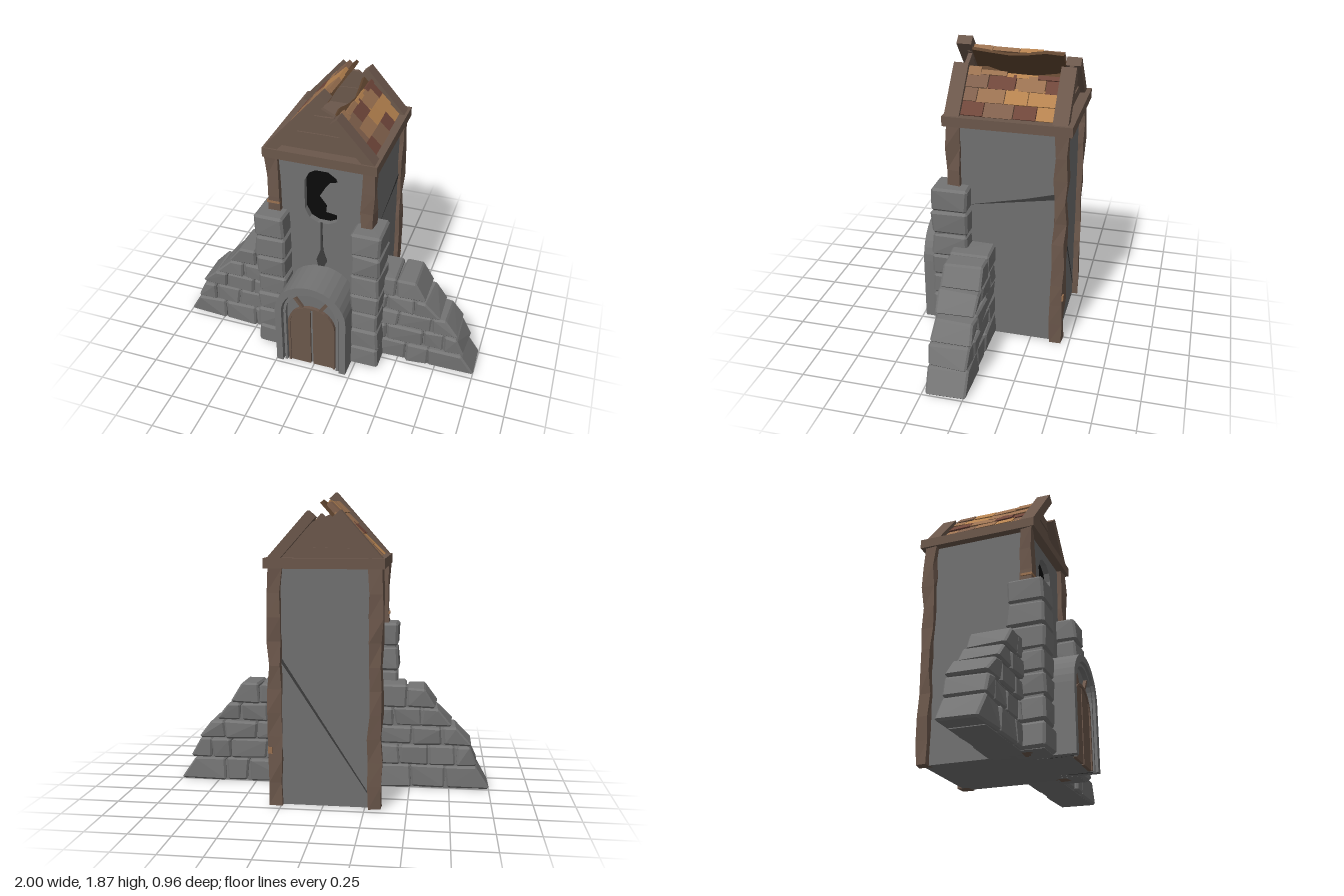
import * as THREE from 'three';
import { ConvexGeometry } from 'three/addons/geometries/ConvexGeometry.js';

const mat = (name, color, side = THREE.FrontSide) => {
  const m = new THREE.MeshStandardMaterial({ color, flatShading: true, side });
  m.name = name;
  return m;
};

export function createModel() {
  const stoneGrey = mat('stoneGrey', 0x747474);
  const wallGrey = mat('wallGrey', 0x707070);
  const crackGrey = mat('crackGrey', 0x3c3c3c);
  const timber = mat('timberBrown', 0x6b574b);
  const darkWood = mat('darkWood', 0x60452f);
  const black = mat('black', 0x0a0a0a);
  const tileMats = [mat('tileOrange', 0xb5824f), mat('tileTan', 0x9a7150),
    mat('tileBrown', 0x80604c), mat('tileRed', 0x6f463a)];

  const model = new THREE.Group();
  model.name = 'ruinedTower';
  let seed = 7;
  const rnd = () => (seed = (seed * 16807) % 2147483647) / 2147483647;
  const jit = (a) => (rnd() - 0.5) * 2 * a;

  const add = (name, geo, material, parent = model) => {
    const m = new THREE.Mesh(geo, material);
    m.name = name;
    parent.add(m);
    return m;
  };
  const group = (name, parent = model) => {
    const g = new THREE.Group();
    g.name = name;
    parent.add(g);
    return g;
  };
  const box = (name, x0, x1, y0, y1, z0, z1, material, parent) => {
    const m = add(name, new THREE.BoxGeometry(x1 - x0, y1 - y0, z1 - z0), material, parent);
    m.position.set((x0 + x1) / 2, (y0 + y1) / 2, (z0 + z1) / 2);
    return m;
  };
  const poly = (pts) => new THREE.Shape(pts.map(([x, y]) => new THREE.Vector2(x, y)));
  const slab = (name, shape, z0, z1, material, parent) => {
    const geo = new THREE.ExtrudeGeometry(shape, { depth: z1 - z0, bevelEnabled: false, curveSegments: 8 });
    const m = add(name, geo, material, parent);
    m.position.z = z0;
    return m;
  };

  // Rough chamfered stone; its ends may slant from bottom (b) to top (t)
  const stone = (name, b0, b1, t0, t1, y0, y1, z0, z1, parent, c = 0.014, j = 0.007) => {
    const pts = [];
    for (const r of [0, 1]) for (const u of [0, 1]) for (const f of [0, 1]) {
      const x = (u ? [t0, t1] : [b0, b1])[r] + jit(j);
      const y = (u ? y1 : y0) + (y0 > 0 || u ? jit(j * 0.5) : 0);
      const z = (f ? z1 : z0) + jit(j);
      const dx = r ? -c : c, dy = u ? -c : c, dz = f ? -c : c;
      pts.push(new THREE.Vector3(x, y + dy, z + dz), new THREE.Vector3(x + dx, y, z + dz),
        new THREE.Vector3(x + dx, y + dy, z));
    }
    return add(name, new ConvexGeometry(pts), stoneGrey, parent);
  };

  // Tower body with a real window opening in its front wall
  box('towerBody', -0.31, 0.295, 0, 1.43, -0.42, 0.19, wallGrey);
  const front = poly([[-0.31, 0], [0.295, 0], [0.295, 1.43], [-0.31, 1.43]]);
  front.holes.push(new THREE.Path(poly([[-0.12, 1.07], [-0.09, 1.01], [-0.04, 0.985], [0.03, 0.985],
    [0.08, 1.01], [0.1, 1.06], [0.1, 1.27], [0.08, 1.32], [0.03, 1.355], [-0.05, 1.355],
    [-0.09, 1.33], [-0.12, 1.27]]).getPoints()));
  slab('frontWall', front, 0.19, 0.235, wallGrey);
  slab('windowDark', poly([[-0.13, 0.97], [0.07, 0.97], [0.07, 1.03], [0, 1.04], [0.005, 1.09], [-0.04, 1.15],
    [0, 1.22], [0.03, 1.26], [0.11, 1.28], [0.11, 1.37], [-0.13, 1.37]]), 0.19, 0.197, black);

  // Cracks
  slab('frontCrack', poly([[-0.02, 0.99], [-0.01, 0.99], [-0.005, 0.78], [0.02, 0.7], [0, 0.65],
    [-0.04, 0.65], [-0.05, 0.7], [-0.022, 0.78]]), 0.235, 0.239, crackGrey);
  const sideCrack = slab('sideCrack', poly([[-0.13, 0.91], [0.38, 1.0], [0.38, 1.035], [0.2, 0.985]]),
    0, 0.004, crackGrey);
  sideCrack.rotation.y = Math.PI / 2;
  sideCrack.position.set(0.295, 0, 0);
  slab('backCrack', poly([[0.27, 0.93], [0.27, 0.9], [-0.27, 0.08], [-0.27, 0.09]]), -0.424, -0.42, crackGrey);

  // Worn corner posts
  for (const [x, z] of [[-0.31, 0.23], [0.282, 0.23], [-0.31, -0.415], [0.282, -0.415]]) {
    const geo = new THREE.BoxGeometry(0.078, 1.42, 0.075, 1, 10, 1);
    const p = geo.attributes.position;
    const off = Array.from({ length: 44 }, () => [jit(0.009), jit(0.009)]);
    for (let i = 0; i < p.count; i++) {
      const k = Math.round((p.getY(i) / 1.42 + 0.5) * 10) * 4 + (p.getX(i) > 0 ? 2 : 0) + (p.getZ(i) > 0 ? 1 : 0);
      p.setX(i, p.getX(i) + off[k][0]);
      p.setZ(i, p.getZ(i) + off[k][1]);
    }
    add('cornerPost', geo, timber).position.set(x, 0.71, z);
  }
  box('postChip', 0.3, 0.326, 0.32, 0.36, -0.457, -0.42, tileMats[1]);
  box('postChip', -0.353, -0.27, 1.09, 1.105, 0.2, 0.272, tileMats[1]);

  // Stone pillars
  const levels = [0, 0.15, 0.3, 0.44, 0.58, 0.73, 0.885, 1.04];
  for (const [a, b] of [[-0.41, -0.22], [0.21, 0.39]]) {
    const pillar = group('stonePillar');
    box('pillarCore', a + 0.015, b - 0.015, 0, 1.02, 0.145, 0.345, stoneGrey, pillar);
    for (let i = 0; i < 7; i++) {
      const e = i < 2 ? 0.008 : 0;
      stone('pillarBlock', a - e, b + e, a, b, levels[i] + 0.003, levels[i + 1] - 0.003, 0.13, 0.36, pillar);
    }
  }

  // Ruined side walls: rows of [bottom, top, outer end at bottom, outer end at top, joints]
  const rows = [
    [0, 0.15, 1.0, 0.92, [0.53, 0.72]],
    [0.15, 0.28, 0.93, 0.88, [0.44, 0.64, 0.8]],
    [0.28, 0.4, 0.88, 0.8, [0.5, 0.69]],
    [0.4, 0.52, 0.76, 0.68, [0.42, 0.58]],
    [0.52, 0.65, 0.66, 0.6, [0.48]],
  ];
  for (const s of [-1, 1]) {
    const wall = group(s < 0 ? 'rightRuinWall' : 'leftRuinWall');
    for (const [y0, y1, ob, ot, joints] of rows) {
      const xs = [0.27, ...joints.map((q) => q + jit(0.025)), ob];
      for (let i = 0; i < xs.length - 1; i++) {
        const last = i === xs.length - 2;
        const b0 = xs[i] + 0.003, b1 = xs[i + 1] - (last ? 0 : 0.003), t1 = last ? ot : b1;
        const top = y1 - 0.002 + (y0 > 0.5 ? jit(0.018) : 0);
        const z = jit(0.006);
        if (s > 0) stone('wallStone', b0, b1, b0, t1, y0 + 0.002, top, -0.015 + z, 0.228 + z, wall, 0.012, 0.008);
        else stone('wallStone', -b1, -b0, -t1, -b0, y0 + 0.002, top, -0.015 + z, 0.228 + z, wall, 0.012, 0.008);
      }
      const c0 = s * 0.27, c1 = s * (ot - 0.05);
      box('wallCore', Math.min(c0, c1), Math.max(c0, c1), y0, y1 - 0.02, 0.005, 0.208, stoneGrey, wall);
    }
  }

  // Arched porch
  const porch = group('porch');
  porch.position.x = -0.013;
  const arch = (r, s) => new THREE.Shape().moveTo(-r, 0).lineTo(-r, s).absarc(0, s, r, Math.PI, 0, true).lineTo(r, 0);
  const ring = (R, r, s) => arch(R, s).lineTo(r, 0).lineTo(r, s).absarc(0, s, r, 0, Math.PI, false).lineTo(-r, 0);
  slab('porchArch', ring(0.235, 0.192, 0.42), 0.2, 0.48, stoneGrey, porch);
  slab('porchGroove', ring(0.194, 0.18, 0.42), 0.3, 0.447, crackGrey, porch);
  slab('porchInnerArch', ring(0.183, 0.166, 0.42), 0.3, 0.465, stoneGrey, porch);
  slab('porchPanel', arch(0.19, 0.42), 0.2, 0.435, wallGrey, porch);

  // Double door with arched trim and fan struts
  for (const s of [-1, 1]) {
    const leaf = new THREE.Shape().moveTo(0.008, 0).lineTo(0.142, 0).lineTo(0.142, 0.32)
      .absarc(0, 0.32, 0.142, 0, Math.PI / 2 - 0.06, false).lineTo(0.008, 0);
    slab('doorLeaf', leaf, 0.43, 0.45, timber, porch).scale.x = s;
    const strut = box('fanStrut', -0.009, 0.009, -0.06, 0.06, 0.43, 0.455, timber, porch);
    strut.position.set(s * 0.086, 0.505, 0.4425);
    strut.rotation.z = -s * 0.6;
  }
  slab('doorTrim', ring(0.157, 0.142, 0.322), 0.43, 0.458, timber, porch);

  // Eaves slab
  box('eaves', -0.36, 0.34, 1.42, 1.48, -0.48, 0.29, timber);

  // Clapboard gables, broken at the peak
  for (const [z, n] of [[0.2, 5], [-0.42, 4]]) {
    const gable = group('gable');
    for (let i = 0; i < n; i++) {
      const y0 = 1.47 + i * 0.06, y1 = y0 + 0.064;
      const w = (y) => (1.8 - y) * 0.88;
      const cut = i === n - 1 ? 0.03 : 0;
      const m = slab('gablePlank', poly([[-0.012 - w(y0), y0], [-0.012 + w(y0), y0 + jit(0.008)],
        [-0.012 + w(y1) - cut, y1 - cut * 0.5], [0.01, y1 + jit(0.006)], [-0.012 - w(y1), y1]]),
      z, z + 0.025, darkWood.name && timber, gable);
      m.position.z += (i % 2) * 0.008;
    }
  }

  // Roof slopes: local x runs up the slope, local y points outward
  const roofSlope = (name, turn, boards, rowCount, len) => {
    const holder = group(name);
    holder.position.set(-0.012, 1.48, -0.085);
    holder.rotation.y = turn;
    const g = group(name + 'Plane', holder);
    g.position.x = -0.335;
    g.rotation.z = 0.847;
    boards.forEach((l, i) => {
      const z = i ? -0.365 : 0.275;
      box('bargeBoard', 0, l, -0.06, 0, z, z + 0.09, timber, g);
    });
    // Decking with a torn upper edge
    const edge = [0.275, 0.16, 0.06, -0.06, -0.17, -0.275].map((z, i) => [len + [0, -0.02, -0.035, -0.02, 0.01, 0][i], z]);
    const deck = slab('roofDeck', poly([[0.02, -0.275], ...edge.reverse(), [0.02, 0.275]]), 0, 0.02, darkWood, g);
    deck.rotation.x = Math.PI / 2;
    deck.position.set(0, -0.05, 0);
    // Staggered tiles
    for (let r = 0; r < rowCount; r++) {
      let z = -0.275;
      for (let k = 0; z < 0.27; k++) {
        const w = k === 0 && r % 2 ? 0.08 : 0.12 + rnd() * 0.07;
        const z1 = z + w > 0.22 ? 0.275 : z + w;
        const d0 = 0.02 + r * 0.086 + jit(0.006);
        const d1 = r === rowCount - 1 ? len - rnd() * 0.04 : d0 + 0.1;
        const pick = rnd();
        const m = tileMats[pick < 0.3 ? 0 : pick < 0.6 ? 1 : pick < 0.84 ? 2 : 3];
        const t = box('roofTile', d0, d1, -0.052, -0.022 + jit(0.005), z + 0.002, z1 - 0.002, m, g);
        t.rotation.set(jit(0.04), 0, -0.07);
        z = z1;
      }
    }
  };
  roofSlope('rightRoofSlope', 0, [0.0, 0.0].map((_, i) => (i ? 0.365 : 0.52)), 5, 0.48);
  // The turned slope has its local +z facing the back
  roofSlope('leftRoofSlope', Math.PI, [0.36, 0.34], 4, 0.34);

  return model;
}
